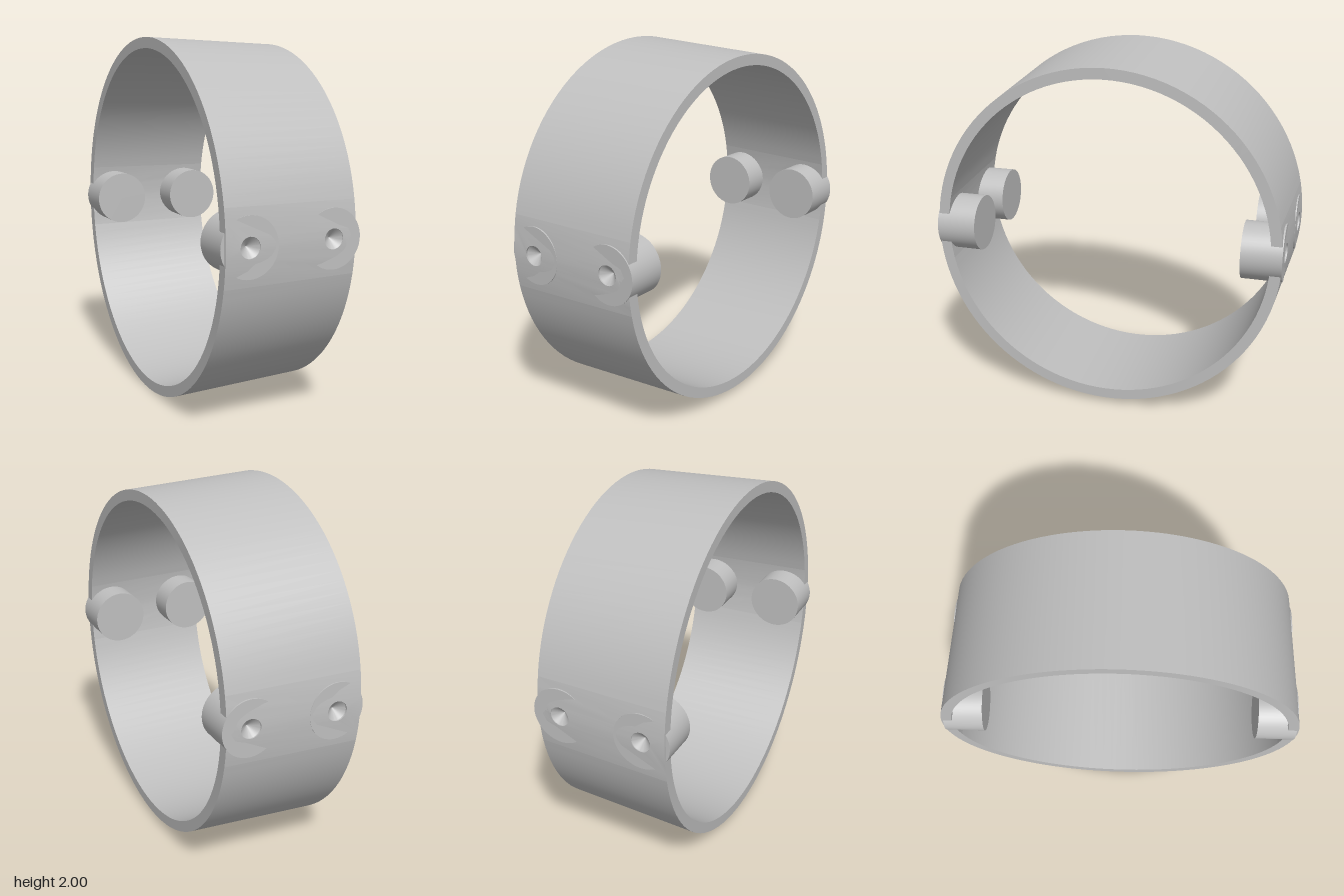
import * as THREE from 'three';
import { toCreasedNormals } from 'three/addons/utils/BufferGeometryUtils.js';

const X0 = -0.375, X1 = 0.372;          // ends of the band
const WALL = 0.06, PANEL = 0.2;         // wall thickness, half angle of a drilled panel
const BOSS_X = 0.24, BOSS_R = 0.157, HOLE_R = 0.055;

// Outer radius of the slightly tapered band
const outerRadius = x => THREE.MathUtils.lerp(1.0, 0.965, (x - X0) / (X1 - X0));

// Plain half of the band, turned about the x axis
function bandArc(start) {
  const profile = [[X0, 0], [X1, 0], [X1, WALL], [X0, WALL], [X0, 0]]
    .map(([x, inset]) => new THREE.Vector2(outerRadius(x) - inset, x));
  const g = new THREE.LatheGeometry(profile, 48, start, Math.PI - 2 * PANEL);
  g.rotateZ(-Math.PI / 2);
  return toCreasedNormals(g, 0.5);
}

// Drilled piece of the band: flat plate with two holes, bent onto the cone
function drilledPanel() {
  const n = 8, pts = [];
  for (let i = 0; i <= n; i++) pts.push(new THREE.Vector2(X1, -PANEL + 2 * PANEL * i / n));
  for (let i = 0; i <= n; i++) pts.push(new THREE.Vector2(X0, PANEL - 2 * PANEL * i / n));
  const shape = new THREE.Shape(pts);
  for (const x of [-BOSS_X, BOSS_X]) {
    shape.holes.push(new THREE.Path().absarc(x, 0, HOLE_R, 0, Math.PI * 2, true));
  }
  const g = new THREE.ExtrudeGeometry(shape, { depth: 1, bevelEnabled: false, curveSegments: 12 });
  const p = g.attributes.position;
  for (let i = 0; i < p.count; i++) {
    const x = p.getX(i), a = p.getY(i);
    const r = outerRadius(x) - WALL * (1 - p.getZ(i));
    p.setXYZ(i, x, r * Math.sin(a), r * Math.cos(a));
  }
  g.computeVertexNormals();
  return toCreasedNormals(g, 0.5);
}

// Round boss with a conical dimple in its outer face
function bossGeometry() {
  const h = 0.22;
  const profile = [[0, 0], [BOSS_R, 0], [BOSS_R, h], [HOLE_R, h], [0, h - 0.045]]
    .map(([r, y]) => new THREE.Vector2(r, y));
  const g = new THREE.LatheGeometry(profile, 48);
  g.rotateX(Math.PI / 2);
  return toCreasedNormals(g, 0.5);
}

export function createModel() {
  const model = new THREE.Group();
  model.name = 'bandWithBosses';
  const steel = new THREE.MeshStandardMaterial({ color: 0xbfbfbf });
  steel.name = 'plain grey';

  const add = (parent, geometry, name) => {
    const mesh = new THREE.Mesh(geometry, steel);
    mesh.name = name;
    parent.add(mesh);
    return mesh;
  };

  const body = new THREE.Group();
  body.name = 'body';
  body.position.y = 1;
  model.add(body);

  add(body, bandArc(PANEL), 'lowerBand');
  add(body, bandArc(Math.PI + PANEL), 'upperBand');

  // Front and back share one layout, turned about the band's axis
  const panel = drilledPanel(), boss = bossGeometry();
  for (const [side, turn] of [['front', 0], ['back', Math.PI]]) {
    const group = new THREE.Group();
    group.name = side + 'Fixing';
    group.rotation.x = turn;
    body.add(group);
    add(group, panel, side + 'Panel');
    add(group, boss, side + 'RightBoss').position.set(-BOSS_X, 0, 0.767);
    add(group, boss, side + 'LeftBoss').position.set(BOSS_X, 0, 0.746);
  }
  return model;
}
